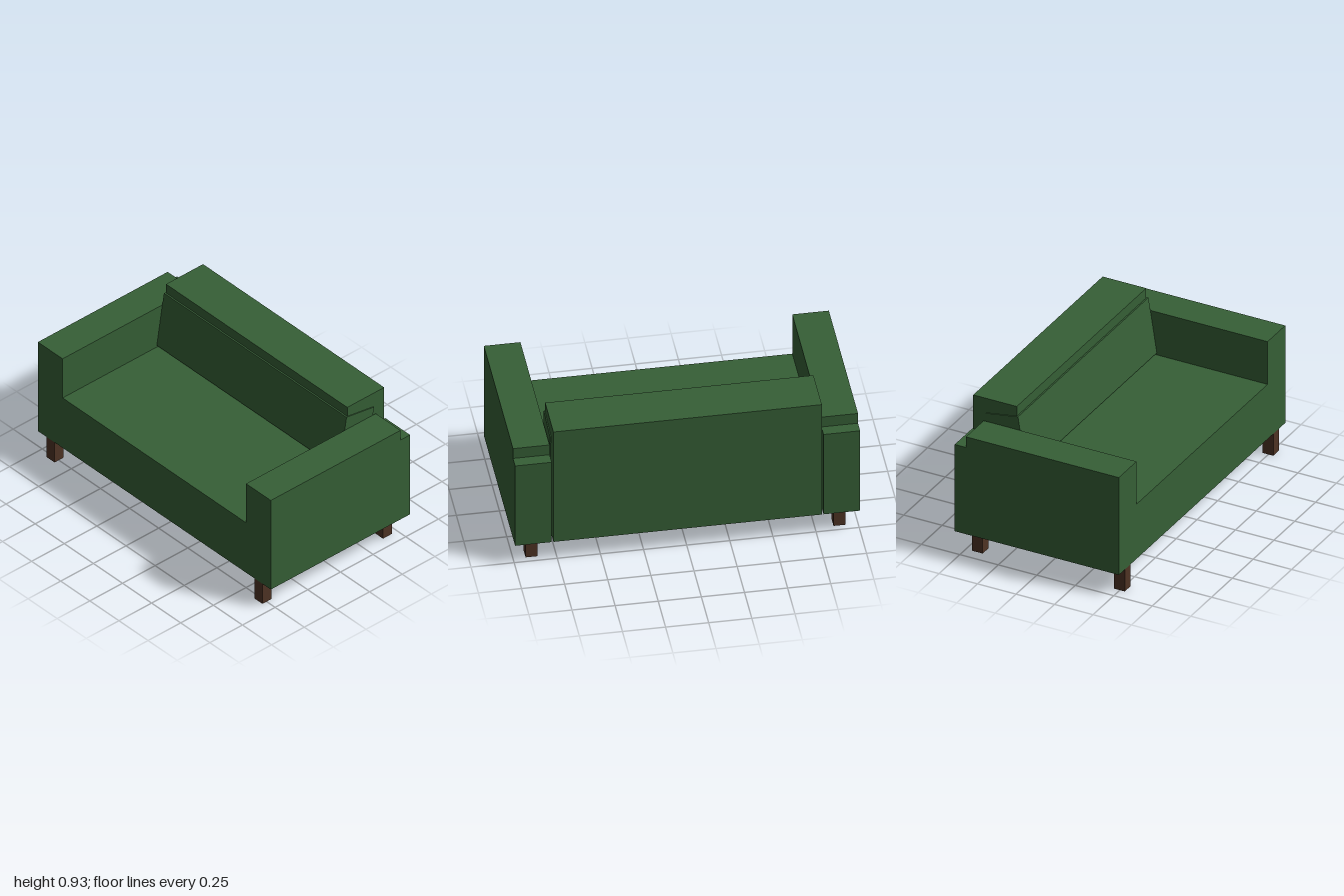
import * as THREE from 'three';

export function createModel() {
  const sofa = new THREE.Group();
  sofa.name = 'sofa';
  const fabric = new THREE.MeshStandardMaterial({ color: 0x365f36 });
  fabric.name = 'green fabric';
  const wood = new THREE.MeshStandardMaterial({ color: 0x4e3324 });
  wood.name = 'brown wood';

  // Box given by its extents along each axis
  function box(name, material, [x0, x1], [y0, y1], [z0, z1]) {
    const mesh = new THREE.Mesh(new THREE.BoxGeometry(x1 - x0, y1 - y0, z1 - z0), material);
    mesh.position.set((x0 + x1) / 2, (y0 + y1) / 2, (z0 + z1) / 2);
    mesh.name = name;
    sofa.add(mesh);
    return mesh;
  }

  const floor = 0.145, inner = 0.788, front = 0.533, rear = -0.533, step = -0.46;

  // Seat block and upright back
  box('seat', fabric, [-inner, inner], [floor, 0.504], [step, front]);
  box('back', fabric, [-0.778, 0.778], [floor, 0.93], [rear, -0.25]);

  // Cushion leaning against the back
  const cushion = new THREE.Mesh(new THREE.BoxGeometry(1.568, 0.353, 0.213), fabric);
  cushion.name = 'backCushion';
  cushion.position.set(0, 0.677, -0.317);
  cushion.rotation.x = -0.155;
  sofa.add(cushion);

  // Armrests with a lower rear step, and legs, mirrored on both sides
  for (const [side, s] of [['left', 1], ['right', -1]]) {
    const span = (a, b) => (s > 0 ? [a, b] : [-b, -a]);
    const profile = new THREE.Shape([
      [-front, floor], [-rear, floor], [-rear, 0.715], [-step, 0.715], [-step, 0.785], [-front, 0.785],
    ].map(([x, y]) => new THREE.Vector2(x, y)));
    const arm = new THREE.Mesh(
      new THREE.ExtrudeGeometry(profile, { depth: 1 - inner, bevelEnabled: false }), fabric);
    arm.name = side + 'Armrest';
    arm.rotation.y = Math.PI / 2;
    arm.position.x = span(inner, 1)[0];
    sofa.add(arm);

    box(side + 'FrontLeg', wood, span(0.858, 0.927), [0, floor], [0.463, 0.532]);
    box(side + 'BackLeg', wood, span(0.858, 0.927), [0, floor], [-0.461, -0.391]);
  }
  return sofa;
}
